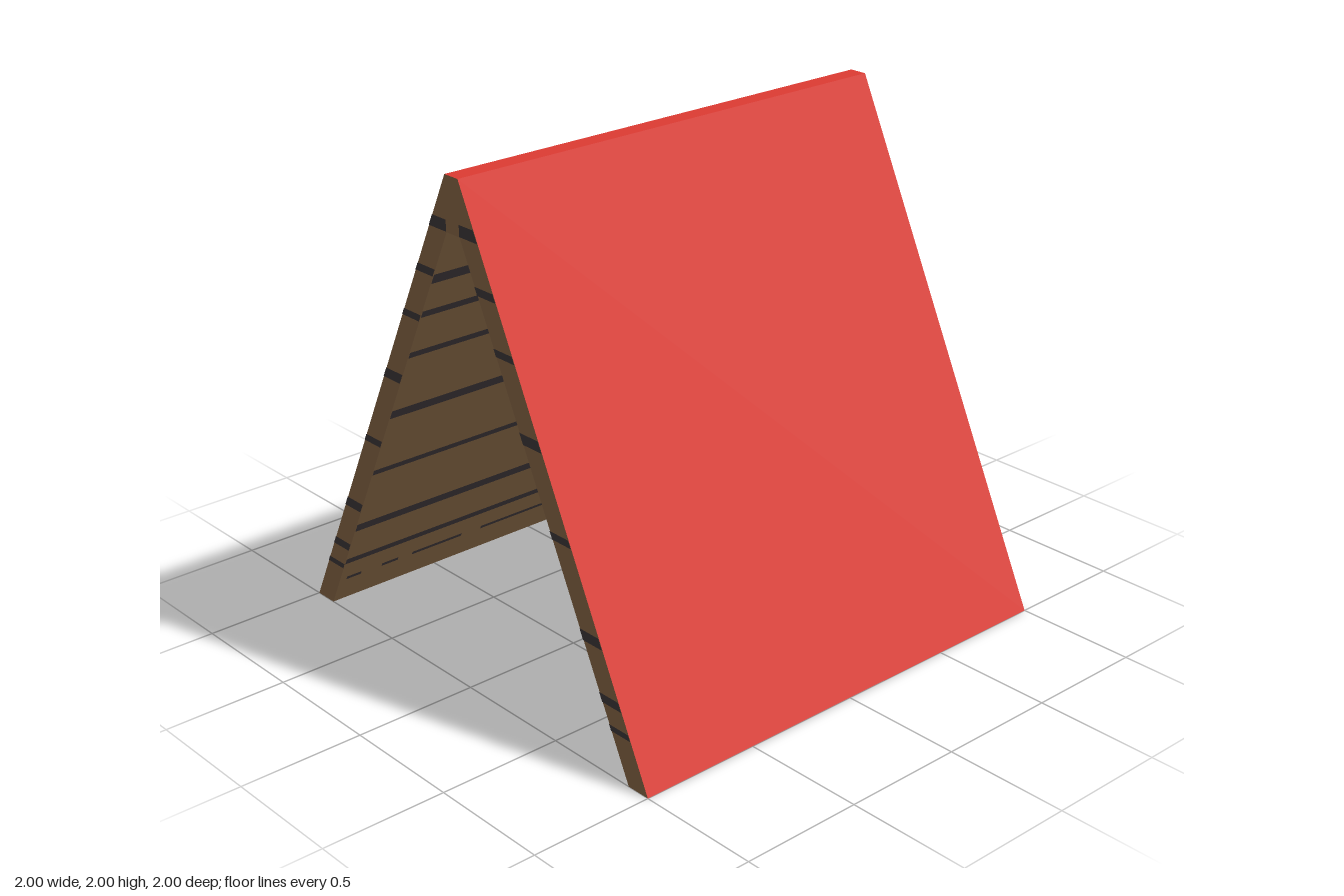
import * as THREE from 'three';

const makeMaterial = (name, color) => {
  const m = new THREE.MeshStandardMaterial({ color });
  m.name = name;
  return m;
};

// Sweeps a clockwise 2D polyline along z, with its front on the outer side
function sheet(points, z0 = -1, z1 = 1) {
  const pos = [];
  for (let i = 0; i + 1 < points.length; i++) {
    const [ax, ay] = points[i], [bx, by] = points[i + 1];
    pos.push(ax, ay, z0, ax, ay, z1, bx, by, z0);
    pos.push(bx, by, z0, ax, ay, z1, bx, by, z1);
  }
  const g = new THREE.BufferGeometry();
  g.setAttribute('position', new THREE.Float32BufferAttribute(pos, 3));
  g.computeVertexNormals();
  return g;
}

const flat = (points) =>
  new THREE.ShapeGeometry(new THREE.Shape(points.map(([x, y]) => new THREE.Vector2(x, y))));

export function createModel() {
  const group = new THREE.Group();
  const red = makeMaterial('red roof', 0xdb3a32);
  const wood = makeMaterial('brown wood', 0x785b3d);
  const dark = makeMaterial('dark grain', 0x363032);
  const add = (name, geometry, material, parent = group) => {
    const mesh = new THREE.Mesh(geometry, material);
    mesh.name = name;
    parent.add(mesh);
    return mesh;
  };

  const outer = [[-0.9, 0], [-1, 0], [-0.037, 2], [0.037, 2], [1, 0], [0.9, 0]];
  const inner = [[0.9, 0], [0.037, 1.79], [-0.037, 1.79], [-0.9, 0]];
  const outerX = (y) => 1 - 0.4815 * y;
  const innerX = (y) => Math.max(0.9 - 0.482 * y, 0.037);

  // Red outside with ridge and feet, wooden inside
  add('roofShell', sheet(outer), red);
  add('innerLining', sheet(inner), wood);

  // Wooden gable ends with grain bands
  const bands = [[0.185, 0.207], [0.28, 0.313], [0.483, 0.522], [0.812, 0.84],
    [1.12, 1.16], [1.405, 1.432], [1.602, 1.632], [1.792, 1.836]];
  const profile = [...outer.slice(1, 5), ...inner];
  for (const [name, turn] of [['front', 0], ['back', Math.PI]]) {
    const end = new THREE.Group();
    end.name = name + 'Gable';
    end.rotation.y = turn;
    group.add(end);
    add(name + 'Edge', flat(profile), wood, end).position.z = 1;
    for (const [a, b] of bands) {
      for (const s of [-1, 1]) {
        const corners = [[s * innerX(a), a], [s * outerX(a), a], [s * outerX(b), b], [s * innerX(b), b]];
        add(name + 'GrainBand', flat(corners), dark, end).position.z = 1.002;
      }
    }
  }

  // Grain lines along both inner walls: height and thickness; the lowest is broken
  const lines = [[0.22, 0.026], [0.4, 0.036], [0.685, 0.024], [0.97, 0.038],
    [1.25, 0.026], [1.435, 0.028], [1.59, 0.04]];
  const dashes = [[-1, -0.25], [-0.2, 0.3], [0.4, 0.65], [0.72, 0.8], [0.9, 0.97]];
  const inset = (s, y) => [s * (innerX(y) - 0.003), y];
  for (const s of [-1, 1]) {
    const addLine = (y, t, z0, z1) => {
      const ends = [inset(s, y - s * t / 2), inset(s, y + s * t / 2)];
      add('innerGrainLine', sheet(ends, z0, z1), dark);
    };
    for (const [y, t] of lines) addLine(y, t, -1, 1);
    for (const [a, b] of dashes) addLine(0.12, 0.014, s < 0 ? a : -b, s < 0 ? b : -a);
  }
  return group;
}
